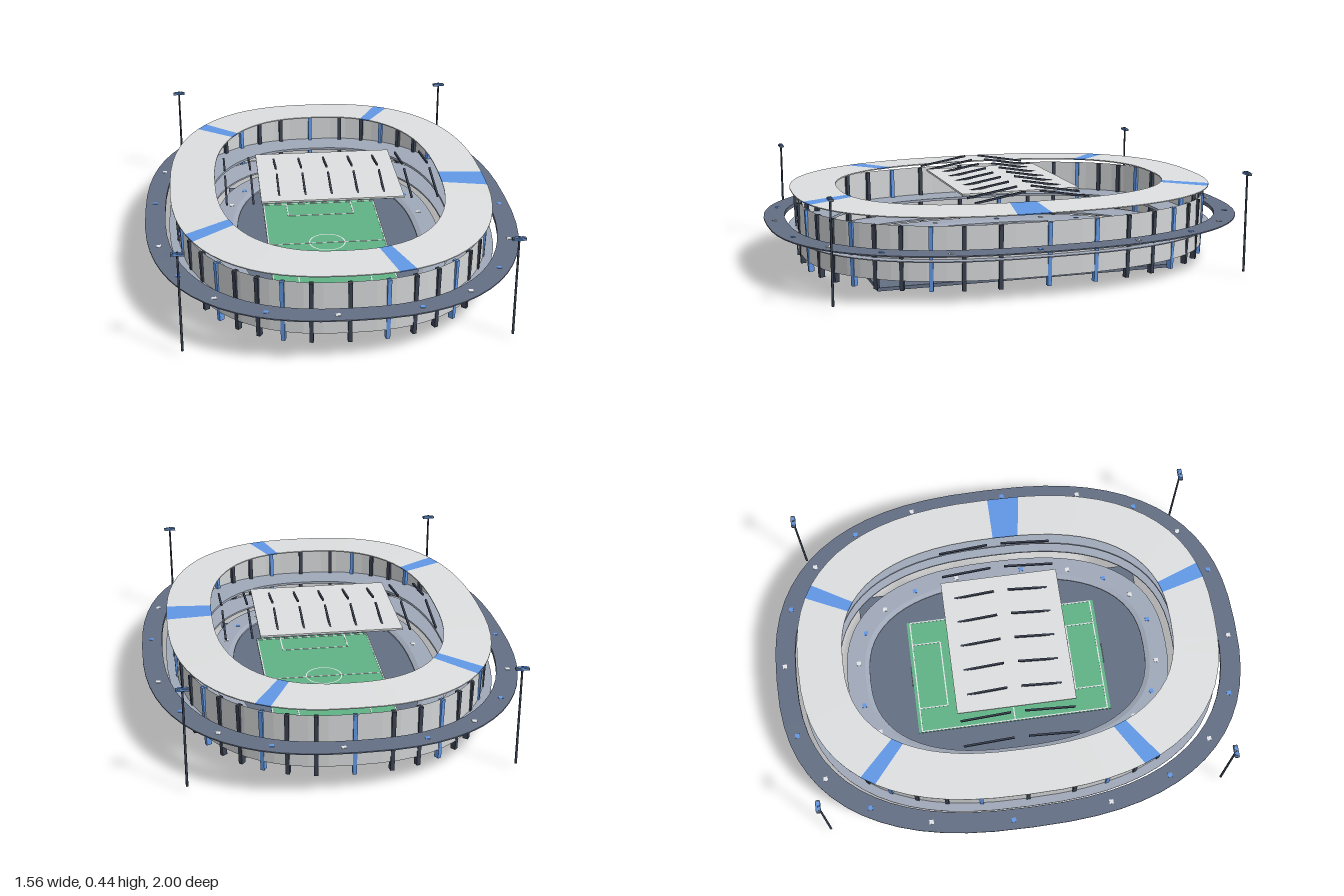
import * as THREE from 'three';

const mat = (name, color) => Object.assign(new THREE.MeshStandardMaterial({ color }), { name });

export function createModel() {
  const root = new THREE.Group();
  root.name = 'stadium';
  const pale = mat('pale grey', 0xdddfe0);
  const blue = mat('blue', 0x6198e6);
  const slate = mat('slate', 0x646f84);
  const tier = mat('tier grey', 0xa0a9b9);
  const dark = mat('dark steel', 0x3a4252);
  const green = mat('grass green', 0x60b286);
  const white = mat('white', 0xeceff2);
  const wallMat = mat('wall grey', 0xd3d5d6);
  wallMat.side = THREE.DoubleSide;

  // Rounded oval plan: half width r, half length r + 0.22
  const oval = (r, t, y) => {
    const f = (v) => Math.sign(v) * Math.pow(Math.abs(v), 0.8);
    return new THREE.Vector3(r * f(Math.cos(t)), y, (r + 0.22) * f(Math.sin(t)));
  };
  // Heading of the outward normal at t
  const facing = (r, t) => {
    const a = oval(r, t - 0.03, 0), b = oval(r, t + 0.03, 0);
    return Math.atan2(b.z - a.z, -(b.x - a.x));
  };

  // Sweeps a counter-clockwise (radius, height) profile around the oval
  function ring(name, profile, materials, pick = () => 0, closed = true) {
    const n = 64, pos = [], geo = new THREE.BufferGeometry();
    const edges = closed ? profile.length : profile.length - 1;
    for (let i = 0; i < n; i++) {
      const t0 = (i / n) * Math.PI * 2, t1 = ((i + 1) / n) * Math.PI * 2;
      geo.addGroup(pos.length / 3, edges * 6, pick(i));
      for (let j = 0; j < edges; j++) {
        const [r0, y0] = profile[j], [r1, y1] = profile[(j + 1) % profile.length];
        const a = oval(r0, t0, y0), b = oval(r1, t0, y1), c = oval(r1, t1, y1), d = oval(r0, t1, y0);
        for (const p of [a, b, c, a, c, d]) pos.push(p.x, p.y, p.z);
      }
    }
    geo.setAttribute('position', new THREE.Float32BufferAttribute(pos, 3));
    geo.computeVertexNormals();
    const mesh = new THREE.Mesh(geo, materials);
    mesh.name = name;
    root.add(mesh);
  }

  function box(name, w, h, d, x, y, z, material, parent = root) {
    const mesh = new THREE.Mesh(new THREE.BoxGeometry(w, h, d), material);
    mesh.position.set(x, y, z);
    mesh.name = name;
    parent.add(mesh);
    return mesh;
  }

  // Ground slab and pitch
  box('groundSlab', 0.82, 0.014, 1.26, 0, 0.007, 0, slate);
  box('pitch', 0.52, 0.006, 0.85, 0, 0.016, 0, green);

  // Pitch markings
  const line = (w, d, x, z) => box('pitchLine', w, 0.002, d, x, 0.0195, z, white);
  line(0.51, 0.005, 0, 0);
  for (const s of [-1, 1]) {
    line(0.005, 0.82, s * 0.256, 0);
    line(0.51, 0.005, 0, s * 0.41);
    line(0.3, 0.005, 0, s * 0.285);
    for (const x of [-0.15, 0.15]) line(0.005, 0.125, x, s * 0.3475);
  }
  const circle = new THREE.Mesh(new THREE.RingGeometry(0.075, 0.08, 40), white);
  circle.rotation.x = -Math.PI / 2;
  circle.position.y = 0.0207;
  circle.name = 'centreCircle';
  root.add(circle);

  // Goals
  for (const s of [-1, 1]) {
    for (const x of [-0.04, 0.04]) box('goalPost', 0.003, 0.02, 0.003, x, 0.024, s * 0.428, white);
    box('goalBar', 0.083, 0.003, 0.003, 0, 0.0345, s * 0.428, white);
  }

  // Seating tiers, outer deck and facade
  ring('lowerTier', [[0.39, 0.048], [0.49, 0.056], [0.49, 0.064], [0.41, 0.063], [0.39, 0.056]], [tier]);
  ring('middleTier', [[0.52, 0.06], [0.63, 0.07], [0.63, 0.077], [0.52, 0.068]], [tier]);
  ring('upperTier', [[0.52, 0.149], [0.68, 0.155], [0.68, 0.159], [0.52, 0.16]], [tier]);
  ring('outerDeck', [[0.695, 0.192], [0.78, 0.201], [0.78, 0.206], [0.695, 0.208]], [slate]);
  ring('facade', [[0.645, 0.072], [0.645, 0.29]], [wallMat], undefined, false);

  // Roof ring with five blue bays
  ring('roof', [[0.48, 0.331], [0.67, 0.325], [0.67, 0.329], [0.48, 0.336]], [pale, blue],
    (i) => (i % 13 === 0 ? 1 : 0));

  // Facade fins
  for (let i = 0; i < 40; i++) {
    const t = (i / 40) * Math.PI * 2, p = oval(0.639, t, 0.16);
    const fin = box('facadeFin', 0.016, 0.255, 0.022, p.x, p.y, p.z, i % 3 === 0 ? blue : dark);
    fin.rotation.order = 'YXZ';
    fin.rotation.set(0.04, facing(0.645, t), 0);
  }

  // Small markers on the deck and the lower tier
  for (const [r, y, start] of [[0.74, 0.2065, 0.04], [0.437, 0.0635, 0.12]]) {
    for (let i = 0; i < 20; i++) {
      const t = start + (i / 20) * Math.PI * 2, p = oval(r, t, y);
      box('marker', 0.018, 0.004, 0.018, p.x, p.y, p.z, i % 2 ? white : blue);
    }
  }

  // Central canopy with inclined beams
  box('canopyPanel', 0.59, 0.008, 0.5, 0, 0.339, 0, pale);
  for (let i = -4; i <= 4; i++) {
    for (const s of [-1, 1]) {
      const beam = box('canopyBeam', 0.008, 0.008, 0.213, i * 0.109, 0.35, s * 0.135, dark);
      beam.rotation.x = s * Math.atan(0.17);
    }
  }

  // Floodlight masts
  for (const x of [-0.63, 0.63]) {
    for (const z of [-0.845, 0.845]) {
      const mast = new THREE.Group();
      mast.name = 'floodlight';
      mast.position.set(x, 0, z);
      const pole = new THREE.Mesh(new THREE.CylinderGeometry(0.004, 0.005, 0.415, 8), dark);
      pole.position.y = 0.2275;
      pole.name = 'mastPole';
      mast.add(pole);
      box('lampHead', 0.052, 0.009, 0.016, 0, 0.425, 0, slate, mast);
      box('lampTop', 0.036, 0.003, 0.012, 0, 0.431, 0, blue, mast);
      for (const s of [-1, 1]) box('lampPanel', 0.044, 0.006, 0.002, 0, 0.425, s * 0.009, blue, mast);
      root.add(mast);
    }
  }
  return root;
}
